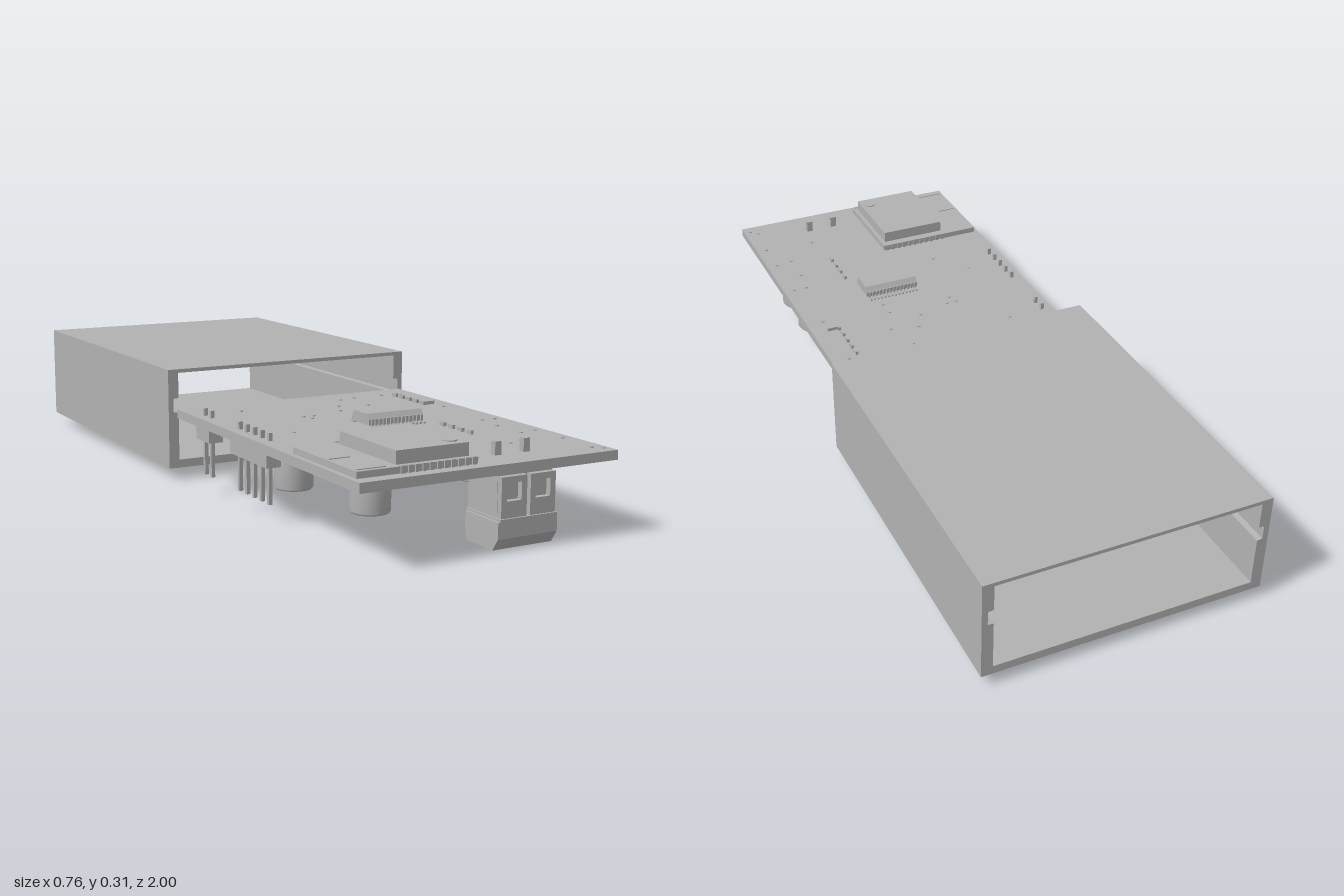
import * as THREE from 'three';

const grey = new THREE.MeshStandardMaterial({ color: 0xb2b2b2 });
grey.name = 'plainGrey';

export function createModel() {
  const model = new THREE.Group();
  model.name = 'boardAndCase';
  const board = new THREE.Group();
  board.name = 'circuitBoardAssembly';
  const shell = new THREE.Group();
  shell.name = 'case';
  model.add(board, shell);

  const add = (parent, name, geometry) => {
    const mesh = new THREE.Mesh(geometry, grey);
    mesh.name = name;
    parent.add(mesh);
    return mesh;
  };
  // Box given by its limits on each axis
  const block = (parent, name, x0, x1, y0, y1, z0, z1) => {
    const mesh = add(parent, name, new THREE.BoxGeometry(x1 - x0, y1 - y0, z1 - z0));
    mesh.position.set((x0 + x1) / 2, (y0 + y1) / 2, (z0 + z1) / 2);
    return mesh;
  };
  const disc = (parent, name, x, y, z, r, h, sides = 16) => {
    const mesh = add(parent, name, new THREE.CylinderGeometry(r, r, h, sides));
    mesh.position.set(x, y, z);
    return mesh;
  };
  const outline = (points) => new THREE.Shape(points.map(([x, y]) => new THREE.Vector2(x, y)));
  const extrude = (shape, depth) =>
    new THREE.ExtrudeGeometry(shape, { depth, bevelEnabled: false, curveSegments: 12 });

  // Sleeve: roof and side walls with slots for the board
  const half = [[0.38, 0.032], [0.38, 0.31]];
  const inner = [[0.35, 0.3], [0.35, 0.23], [0.365, 0.228], [0.365, 0.19], [0.35, 0.188], [0.35, 0.032]];
  const mirror = (pts) => pts.map(([x, y]) => [-x, y]).reverse();
  add(shell, 'caseWalls', extrude(outline([...half, ...mirror(half), ...mirror(inner).map((p) => p), ...inner]), 0.97))
    .position.z = -1;

  // Floor with a connector notch and a round hole
  const floorShape = outline([[-0.35, 0.03], [0.033, 0.03], [0.033, 0.13], [0.217, 0.13],
    [0.217, 0.03], [0.35, 0.03], [0.35, 1], [-0.35, 1]]);
  const hole = new THREE.Path();
  hole.absarc(0.305, 0.115, 0.025, 0, Math.PI * 2, true);
  floorShape.holes.push(hole);
  add(shell, 'caseFloor', extrude(floorShape, 0.023).rotateX(-Math.PI / 2)).position.y = 0.032;

  // Circuit board
  block(board, 'circuitBoard', -0.38, 0.33, 0.186, 0.21, 0.03, 1);

  // Radio module with metal can and edge pads
  block(board, 'radioModule', -0.367, -0.048, 0.21, 0.226, 0.675, 0.965);
  block(board, 'radioCan', -0.256, -0.061, 0.226, 0.258, 0.7, 0.947);
  disc(board, 'canMark', -0.09, 0.259, 0.91, 0.018, 0.004, 24);
  for (let i = 0; i < 11; i++) {
    const x = -0.25 + i * 0.019;
    for (const z of [0.675, 0.965]) block(board, 'modulePad', x - 0.005, x + 0.005, 0.21, 0.228, z - 0.004, z + 0.004);
  }
  block(board, 'antennaStrip', -0.36, -0.305, 0.226, 0.228, 0.825, 0.833);
  block(board, 'antennaStrip', -0.36, -0.285, 0.226, 0.228, 0.945, 0.953);

  // Driver chip with a chamfered top and two rows of legs
  const chip = outline([[0.413, 0.216], [0.413, 0.23], [0.423, 0.245], [0.487, 0.245], [0.497, 0.23], [0.497, 0.216]]);
  add(board, 'driverChip', extrude(chip, 0.164).rotateY(-Math.PI / 2)).position.x = 0.111;
  for (let i = 0; i < 14; i++) {
    const x = -0.045 + i * 0.0114;
    for (const s of [-1, 1]) {
      const foot = 0.455 + s * 0.052;
      const knee = 0.455 + s * 0.044;
      block(board, 'chipLeg', x - 0.0025, x + 0.0025, 0.21, 0.215, foot - 0.009, foot + 0.009);
      block(board, 'chipLeg', x - 0.0025, x + 0.0025, 0.21, 0.232, knee - 0.003, knee + 0.003);
    }
  }

  // Pin headers along the right edge
  for (const [first, count] of [[0.145, 2], [0.355, 5]]) {
    const last = first + (count - 1) * 0.041;
    block(board, 'headerBody', -0.367, -0.327, 0.146, 0.186, first - 0.02, last + 0.02);
    for (let i = 0; i < count; i++) {
      const z = first + i * 0.041;
      block(board, 'headerPin', -0.353, -0.343, 0.05, 0.23, z - 0.005, z + 0.005);
    }
  }

  // Can capacitors on the underside: square base, grooved can
  const canProfile = [[0, 0.06], [0.046, 0.06], [0.05, 0.065], [0.05, 0.139], [0.046, 0.143],
    [0.046, 0.148], [0.05, 0.152], [0.05, 0.163], [0.045, 0.168], [0, 0.168]].map(([x, y]) => new THREE.Vector2(x, y));
  const baseShape = outline([[-0.052, -0.052], [0.034, -0.052], [0.052, -0.034], [0.052, 0.034], [0.034, 0.052], [-0.052, 0.052]]);
  for (const [x, z] of [[0.235, 0.725], [0.235, 0.57], [-0.025, 0.428], [-0.233, 0.428], [-0.186, 0.725]]) {
    const capacitor = new THREE.Group();
    capacitor.name = 'capacitor';
    capacitor.position.set(x, 0, z);
    board.add(capacitor);
    add(capacitor, 'capacitorCan', new THREE.LatheGeometry(canProfile, 32));
    add(capacitor, 'capacitorBase', extrude(baseShape, 0.018).rotateX(-Math.PI / 2)).position.y = 0.165;
    block(capacitor, 'capacitorFoot', -0.06, 0.06, 0.181, 0.186, -0.01, 0.01);
  }

  // Two-way plug connector below the front edge
  const plug = outline([[0.862, 0], [0.965, 0], [0.985, 0.03], [0.985, 0.07], [0.855, 0.07], [0.855, 0.03]]);
  add(board, 'plugBody', extrude(plug, 0.169).rotateY(-Math.PI / 2)).position.x = 0.167;
  block(board, 'socketBody', 0.008, 0.163, 0.07, 0.186, 0.85, 0.965);
  block(board, 'socketLip', 0.004, 0.166, 0.07, 0.076, 0.85, 0.985);
  for (const x of [0.045, 0.127]) {
    const face = outline([[x - 0.036, 0.076], [x + 0.036, 0.076], [x + 0.036, 0.174], [x - 0.036, 0.174]]);
    const gap = new THREE.Path([[x - 0.021, 0.116], [x - 0.021, 0.159], [x + 0.021, 0.159], [x + 0.021, 0.116]]
      .map(([a, b]) => new THREE.Vector2(a, b)));
    face.holes.push(gap);
    add(board, 'socketWindowFrame', extrude(face, 0.015)).position.z = 0.965;
    block(board, 'socketPin', x - 0.009, x + 0.009, 0.18, 0.243, 0.898, 0.914);
    disc(board, 'wireClampScrew', x, -0.001 + 0.003, 0.913, 0.022, 0.004);
  }

  // Rows of small chips on the upper face
  const chipRow = (x, z0, count, step) => {
    for (let i = 0; i < count; i++)
      block(board, 'smallChip', x - 0.004, x + 0.004, 0.21, 0.22, z0 + i * step - 0.01, z0 + i * step + 0.01);
  };
  chipRow(0.25, 0.14, 5, 0.036);
  chipRow(0.13, 0.56, 4, 0.04);
  block(board, 'jumper', 0.252, 0.284, 0.21, 0.219, 0.282, 0.29);

  // Solder dots on the upper face
  const dots = [[-0.24, 0.14], [0.08, 0.12], [0.13, 0.11], [0.22, 0.11], [0.28, 0.12], [0.03, 0.2], [0.11, 0.22],
    [0, 0.26], [-0.13, 0.29], [-0.1, 0.29], [-0.12, 0.32], [0.08, 0.31], [0.08, 0.36], [0.28, 0.34], [-0.25, 0.46],
    [-0.17, 0.56], [0.26, 0.55], [0.3, 0.55], [0.25, 0.63], [0.3, 0.72], [0.25, 0.73], [0.15, 0.82], [0.3, 0.83],
    [0.29, 0.95], [0.31, 0.97]];
  for (const [x, z] of dots) disc(board, 'solderDot', x, 0.211, z, 0.005, 0.004, 8);

  // Coils and small parts on the underside: x, z, width, length, depth
  const parts = [[0.16, 0.43, 0.07, 0.07, 0.036], [0.1, 0.64, 0.08, 0.07, 0.036], [0.076, 0.79, 0.07, 0.06, 0.036],
    [-0.13, 0.5, 0.04, 0.05, 0.03], [0.09, 0.3, 0.05, 0.03, 0.02], [-0.09, 0.6, 0.04, 0.03, 0.02],
    [0.02, 0.56, 0.03, 0.05, 0.02], [0.17, 0.25, 0.03, 0.03, 0.015], [-0.1, 0.3, 0.04, 0.025, 0.015],
    [-0.28, 0.6, 0.05, 0.025, 0.015], [0.23, 0.35, 0.025, 0.05, 0.018], [0.26, 0.86, 0.04, 0.025, 0.015],
    [-0.06, 0.84, 0.03, 0.04, 0.018], [0.24, 0.17, 0.03, 0.03, 0.015], [0.02, 0.2, 0.03, 0.03, 0.012]];
  for (const [x, z, w, l, d] of parts)
    block(board, 'undersidePart', x - w / 2, x + w / 2, 0.186 - d, 0.186, z - l / 2, z + l / 2);

  return model;
}
